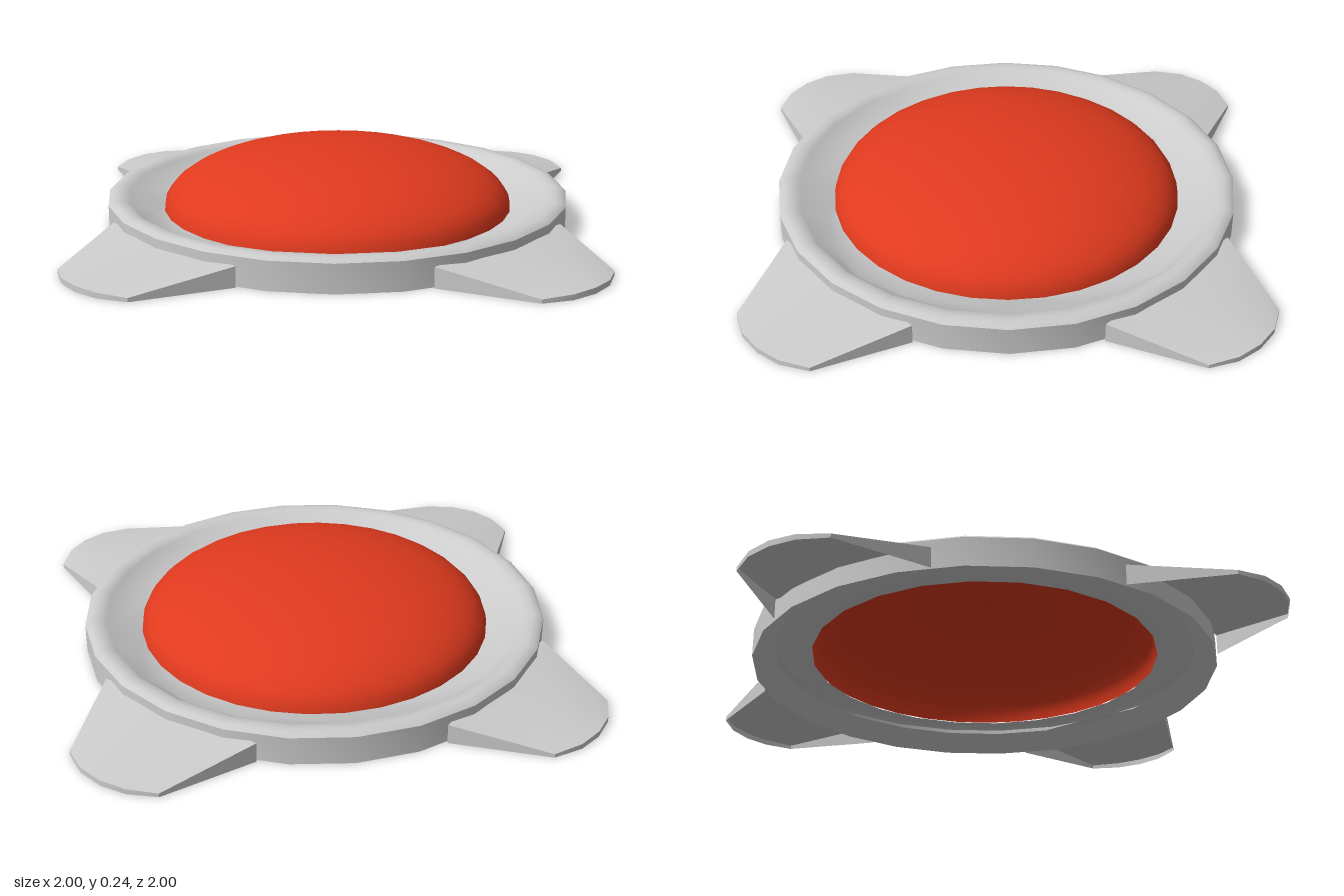
import * as THREE from 'three';
import { toCreasedNormals } from 'three/addons/utils/BufferGeometryUtils.js';

const lerp = THREE.MathUtils.lerp;
const grey = new THREE.MeshStandardMaterial({ color: 0xcccccc, side: THREE.DoubleSide });
const red = new THREE.MeshStandardMaterial({ color: 0xe03a1e, side: THREE.DoubleSide });

function part(name, geometry, material) {
  const mesh = new THREE.Mesh(geometry, material);
  mesh.name = name;
  return mesh;
}

// Round housing: sloped underside, outer wall, rounded lip, inner wall, ledge
function housingGeometry() {
  const profile = [
    [0.655, 0.05], [0.72, 0], [0.72, 0.088], [0.708, 0.098], [0.69, 0.1],
    [0.668, 0.098], [0.655, 0.09], [0.59, 0.055], [0.54, 0.045],
  ].map(([r, y]) => new THREE.Vector2(r, y));
  const geo = new THREE.LatheGeometry(profile, 24);
  const pos = geo.attributes.position;
  // the foot of the inner wall is squared off, closer in on the diagonals
  for (let i = 0; i < pos.count; i++) {
    if (Math.abs(pos.getY(i) - 0.055) > 1e-4) continue;
    const angle = Math.atan2(pos.getX(i), pos.getZ(i));
    const r = 0.59 + 0.03 * Math.cos(4 * angle);
    pos.setXYZ(i, Math.sin(angle) * r, 0.055, Math.cos(angle) * r);
  }
  return toCreasedNormals(geo, 0.7);
}

// Tapering foot pointing to +z: sloped top with a skirt down to the ground
function footGeometry() {
  const cols = 6, rows = 3;
  const geo = new THREE.PlaneGeometry(1, 1, cols, rows);
  const pos = geo.attributes.position;
  const tip = [0.945, 0.988, 1, 0.988, 0.945];
  for (let row = 0; row <= rows; row++) {
    for (let col = 0; col <= cols; col++) {
      const k = THREE.MathUtils.clamp(col - 1, 0, 4);
      const u = k / 2 - 1;
      const t = Math.min(row / (rows - 1), 1);
      const skirt = col === 0 || col === cols || row === rows;
      pos.setXYZ(
        row * (cols + 1) + col,
        u * lerp(0.28, 0.165, t),
        skirt ? 0 : lerp(0.068, 0.018, t) - 0.006 * u * u,
        lerp(0.665, tip[k], t),
      );
    }
  }
  return toCreasedNormals(geo, 0.6);
}

// Shallow open dome
function domeGeometry() {
  const points = [];
  for (let i = 0; i <= 12; i++) {
    const a = (i / 12) * Math.PI / 2;
    points.push(new THREE.Vector2(0.545 * Math.cos(a), 0.05 + 0.19 * Math.sin(a)));
  }
  return new THREE.LatheGeometry(points, 32);
}

export function createModel() {
  const model = new THREE.Group();
  model.name = 'domedStud';
  model.add(part('housingRing', housingGeometry(), grey));
  model.add(part('dome', domeGeometry(), red));

  const foot = footGeometry();
  ['frontFoot', 'leftFoot', 'backFoot', 'rightFoot'].forEach((name, i) => {
    const mesh = part(name, foot, grey);
    mesh.rotation.y = i * Math.PI / 2;
    model.add(mesh);
  });
  return model;
}
